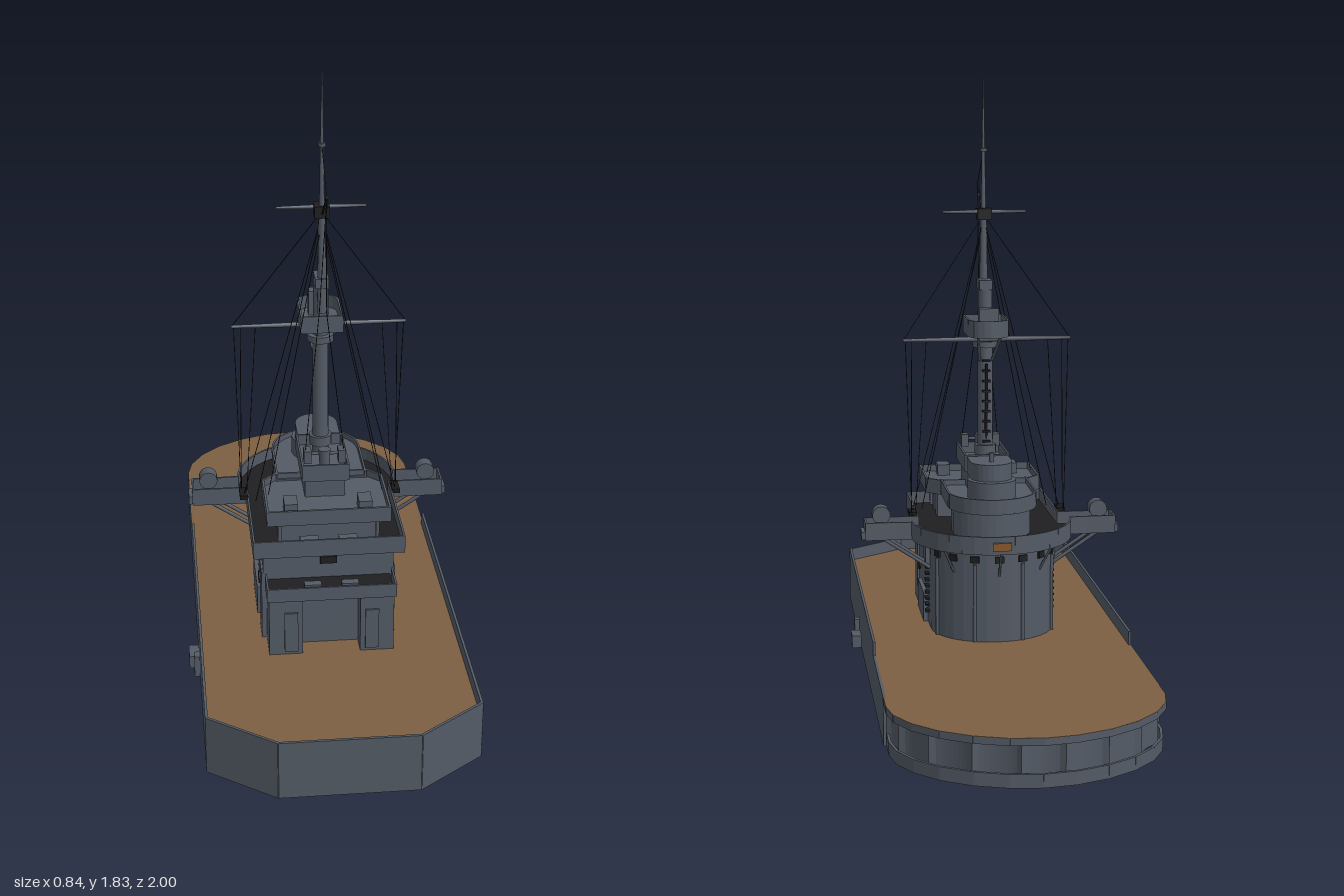
import * as THREE from 'three';

const material = (name, color) => {
  const m = new THREE.MeshStandardMaterial({ color, side: THREE.DoubleSide });
  m.name = name;
  return m;
};

export function createModel() {
  const steel = material('steel grey', 0x545b66);
  const dark = material('dark deck covering', 0x1f1f21);
  const wood = material('wooden deck', 0x7c5f43);
  const line = material('rigging black', 0x1a1a1c);
  const brass = material('brass', 0x87572d);
  const root = new THREE.Group();
  const V = (x, y, z) => new THREE.Vector3(x, y, z);

  const add = (name, geo, mat, x = 0, y = 0, z = 0) => {
    const m = new THREE.Mesh(geo, mat);
    m.name = name;
    m.position.set(x, y, z);
    root.add(m);
    return m;
  };
  // box given by its limits
  const box = (name, x0, x1, y0, y1, z0, z1, mat = steel) =>
    add(name, new THREE.BoxGeometry(x1 - x0, y1 - y0, z1 - z0), mat, (x0 + x1) / 2, (y0 + y1) / 2, (z0 + z1) / 2);
  const both = (fn) => [-1, 1].forEach(fn);
  const sideBox = (name, x0, x1, y0, y1, z0, z1, mat = steel) =>
    both((s) => box(name, Math.min(s * x0, s * x1), Math.max(s * x0, s * x1), y0, y1, z0, z1, mat));
  const cyl = (name, r0, r1, y0, y1, x, z, mat = steel, n = 16) =>
    add(name, new THREE.CylinderGeometry(r1, r0, y1 - y0, n), mat, x, (y0 + y1) / 2, z);
  const rod = (name, a, b, r = 0.0012, mat = line, n = 4, r2 = r) => {
    const d = b.clone().sub(a);
    const m = add(name, new THREE.CylinderGeometry(r2, r, d.length(), n), mat);
    m.position.copy(a).addScaledVector(d, 0.5);
    m.quaternion.setFromUnitVectors(V(0, 1, 0), d.normalize());
    return m;
  };
  // plan outline of [x, z] points raised from y0 to y1
  const prism = (name, pts, y0, y1, mat = steel) => {
    const s = new THREE.Shape(pts.map((p) => new THREE.Vector2(p[0], -p[1])));
    const g = new THREE.ExtrudeGeometry(s, { depth: y1 - y0, bevelEnabled: false });
    g.rotateX(-Math.PI / 2);
    return add(name, g, mat, 0, y0, 0);
  };
  // thin upright plating along a plan path
  const wall = (name, pts, y0, y1, t = 0.008, mat = steel) => {
    for (let i = 0; i < pts.length - 1; i++) {
      const [ax, az] = pts[i], [bx, bz] = pts[i + 1];
      const m = add(name, new THREE.BoxGeometry(Math.hypot(bx - ax, bz - az) + t * 0.6, y1 - y0, t), mat,
        (ax + bx) / 2, (y0 + y1) / 2, (az + bz) / 2);
      m.rotation.y = -Math.atan2(bz - az, bx - ax);
    }
  };
  const arc = (rx, rz, cz, n, a0 = 0, a1 = Math.PI) => Array.from({ length: n + 1 }, (_, i) => {
    const a = a0 + (a1 - a0) * i / n;
    return [rx * Math.cos(a), cz - rz * Math.sin(a)];
  });
  const closed = (pts) => [...pts, pts[0]];

  // hull: raised bulwark forward, lower rounded stern
  const bow = [[-0.386, -0.25], [-0.386, 0.86], [-0.197, 0.996], [0.197, 0.996], [0.386, 0.86], [0.386, -0.25]];
  wall('bulwark', bow, 0, 0.18);
  sideBox('sternSide', 0.382, 0.39, 0, 0.139, -0.63, -0.25);
  // slightly slimmer than an ellipse at the quarters
  const lean = (v) => Math.sign(v) * Math.abs(v) ** 1.07;
  const sternArc = (d) => Array.from({ length: 13 }, (_, i) => {
    const a = Math.PI * i / 12;
    return [(0.39 - d) * lean(Math.cos(a)), -0.7 - (0.3 - d) * lean(Math.sin(a))];
  });
  prism('deck', [[0.383, 0.857], ...sternArc(0.001), [-0.383, 0.857], [-0.195, 0.992], [0.195, 0.992]], 0.126, 0.139, wood);

  // stern wall of shallow scalloped bays between two bands
  const sternPath = (d) => [[0.39 - d, -0.62], ...sternArc(d), [-0.39 + d, -0.62]];
  const scallop = (inset) => Array.from({ length: 91 }, (_, i) => {
    const a = Math.PI * i / 90;
    const d = inset + 0.024 * Math.sqrt(Math.abs(Math.sin(a * 9)));
    return [(0.389 - d) * lean(Math.cos(a)), -0.635 - (0.36 - d) * lean(Math.sin(a))];
  });
  wall('sternLowerBand', sternPath(0.012), 0, 0.038);
  prism('sternBays', [...scallop(0.006), ...scallop(0.014).reverse()], 0.01, 0.126);
  wall('sternUpperBand', sternPath(0.005), 0.118, 0.138);
  prism('sternUnderside', [[0.38, -0.42], ...sternArc(0.02), [-0.38, -0.42]], 0.118, 0.124, dark);
  sideBox('sidePlatform', 0.36, 0.42, 0, 0.04, 0.27, 0.335);
  sideBox('sideFender', 0.388, 0.406, 0, 0.07, 0.355, 0.385);

  // main deckhouse with rounded back
  const house = [[0.195, 0.4], ...arc(0.19, 0.17, 0, 16), [-0.195, 0.4]];
  prism('deckhouse', house, 0.13, 0.43);
  sideBox('houseLocker', 0.19, 0.205, 0.13, 0.23, 0.08, 0.26);
  sideBox('housePanel', 0.19, 0.2, 0.13, 0.36, 0.32, 0.4);
  sideBox('houseBracket', 0.18, 0.204, 0.33, 0.43, 0.02, 0.09);
  both((s) => {
    const p = cyl('portLight', 0.016, 0.016, -0.004, 0.004, s * 0.198, 0.275, brass);
    p.position.y = 0.275;
    p.rotation.z = Math.PI / 2;
    const rim = add('portLightRim', new THREE.TorusGeometry(0.017, 0.003, 6, 20), dark, s * 0.199, 0.275, 0.275);
    rim.rotation.y = Math.PI / 2;
  });
  for (let i = 0; i < 8; i++) sideBox('ladderRung', 0.19, 0.203, 0.18 + i * 0.02, 0.186 + i * 0.02, 0.035, 0.065, dark);
  for (let i = 1; i < 8; i++) {
    const a = Math.PI * i / 8, c = Math.cos(a), s = Math.sin(a);
    if (i % 2 === 0) rod('galleryStrut', V(0.18 * c, 0.34, -0.165 * s), V(0.235 * c, 0.43, 0.02 - 0.235 * s), 0.004, steel, 5);
    else cyl('housePipe', 0.006, 0.006, 0.14, 0.38, 0.192 * c, -0.172 * s, steel, 6);
    const w = box('houseWindow', -0.014, 0.014, 0.385, 0.405, -0.004, 0.004, dark);
    w.position.set(0.191 * c, 0.395, -0.171 * s);
    w.rotation.y = Math.atan2(c, -s);
  }

  // front annex
  sideBox('frontCabin', 0.085, 0.185, 0.13, 0.325, 0.4, 0.5);
  box('frontRecess', -0.085, 0.085, 0.13, 0.325, 0.4, 0.44);
  box('annexRoof', -0.185, 0.185, 0.325, 0.338, 0.4, 0.508, dark);
  wall('annexRail', [[-0.188, 0.42], [-0.188, 0.51], [0.188, 0.51], [0.188, 0.42]], 0.325, 0.368, 0.006);
  sideBox('cabinDoor', 0.1, 0.14, 0.15, 0.28, 0.5, 0.506);
  box('frontWindow', -0.025, 0.025, 0.385, 0.408, 0.4, 0.405, dark);
  sideBox('annexLocker', 0.03, 0.08, 0.338, 0.37, 0.475, 0.5);

  // bridge platform with wings
  const bridge = [[0.222, 0.427], [0.222, 0.077], [0.388, 0.077], [0.388, 0.003], [0.3, 0.003],
    ...arc(0.247, 0.245, 0.02, 18, 0.08, Math.PI - 0.08), [-0.3, 0.003], [-0.388, 0.003], [-0.388, 0.077], [-0.222, 0.077], [-0.222, 0.427]];
  prism('bridgeFloor', bridge, 0.425, 0.441, dark);
  wall('bridgeRail', closed(bridge), 0.425, 0.48, 0.006);
  sideBox('wingEnd', 0.385, 0.402, 0.425, 0.45, 0.01, 0.07);
  sideBox('bridgeLocker', 0.03, 0.085, 0.441, 0.475, 0.392, 0.422);
  box('sternPlate', -0.028, 0.028, 0.438, 0.462, -0.234, -0.226, brass);
  both((s) => {
    for (const z of [0.015, 0.065]) rod('wingStrut', V(s * 0.19, 0.33, z), V(s * 0.34, 0.43, z), 0.006, steel, 6);
    cyl('lampStand', 0.012, 0.012, 0.44, 0.49, s * 0.34, 0.04);
    const l = cyl('searchlight', 0.028, 0.028, -0.02, 0.02, s * 0.34, 0.04);
    l.position.y = 0.498;
    l.rotation.x = Math.PI / 2;
  });

  // upper bridge, carried on separate supports
  for (const [w, z0, z1] of [[0.145, 0.32, 0.36], [0.145, 0.22, 0.28], [0.1, 0.09, 0.18]])
    box('bridgeSupport', -w, w, 0.44, 0.53, z0, z1);
  sideBox('bridgePost', 0.14, 0.15, 0.44, 0.53, 0.395, 0.405);
  const upper = [[0.18, 0.415], [0.18, 0.21], [0.14, 0.17], [-0.14, 0.17], [-0.18, 0.21], [-0.18, 0.415]];
  prism('upperBridgeFloor', upper, 0.525, 0.55);
  wall('upperBridgeRail', closed(upper), 0.525, 0.572, 0.007);
  prism('conningTower', [[0.12, 0.05], ...arc(0.12, 0.1, 0.0, 16), [-0.12, 0.05]], 0.44, 0.53);
  const aftTop = [[0.135, 0.18], ...arc(0.135, 0.135, 0.0, 16), [-0.135, 0.18]];
  prism('aftBridgeFloor', aftTop, 0.525, 0.555);
  wall('aftBridgeRail', aftTop, 0.525, 0.572, 0.006);

  // compass platform and range finder hood
  box('compassHouse', -0.06, 0.06, 0.55, 0.615, 0.11, 0.29);
  const compass = [[0.068, 0.31], [0.068, 0.1], [-0.068, 0.1], [-0.068, 0.31]];
  prism('compassFloor', compass, 0.612, 0.63);
  wall('compassRail', closed(compass), 0.612, 0.665, 0.006);
  cyl('compass', 0.014, 0.018, 0.63, 0.7, 0, 0.275);
  sideBox('compassLamp', 0.04, 0.062, 0.66, 0.7, 0.255, 0.29);
  rod('compassBar', V(-0.06, 0.685, 0.272), V(0.06, 0.685, 0.272), 0.005, steel, 6);
  cyl('hoodBase', 0.075, 0.075, 0.55, 0.61, 0, -0.005, steel, 20);
  prism('hood', [[0.065, 0.09], ...arc(0.065, 0.065, 0.01, 12), [-0.065, 0.09]], 0.61, 0.662);
  cyl('hoodPeriscope', 0.008, 0.008, 0.66, 0.69, 0, 0.005, steel, 8);
  sideBox('upperLocker', 0.09, 0.13, 0.55, 0.585, 0.34, 0.4);

  // mast: lower mast, fighting top and topmast
  cyl('lowerMast', 0.026, 0.022, 0.44, 1.2, 0, 0.148);
  cyl('mastBand', 0.04, 0.04, 1.0, 1.02, 0, 0.148);
  cyl('mastFoot', 0.034, 0.034, 0.66, 0.69, 0, 0.148);
  const top = [[0.06, 0.2], ...arc(0.06, 0.05, 0.07, 10), [-0.06, 0.2]];
  prism('fightingTopFloor', top, 1.042, 1.055);
  wall('fightingTopRail', closed(top), 1.042, 1.095, 0.006);
  box('topInstrument', -0.03, 0.03, 1.05, 1.13, 0.055, 0.09);
  both((s) => rod('topStrut', V(s * 0.02, 0.96, 0.13), V(s * 0.035, 1.045, 0.045), 0.005, steel, 6));
  for (let i = 0; i < 9; i++) box('mastStep', -0.012, 0.012, 0.7 + i * 0.032, 0.706 + i * 0.032, 0.112, 0.126, dark);
  rod('mastLeg', V(0, 0.48, 0.145), V(0, 0.95, 0.11), 0.005, line, 6);
  box('mastCap', -0.02, 0.02, 1.18, 1.21, 0.125, 0.2);
  cyl('topmast', 0.014, 0.01, 1.1, 1.42, 0, 0.184, steel, 10);
  cyl('upperPole', 0.008, 0.002, 1.42, 1.825, 0, 0.184, steel, 8);
  cyl('poleRing', 0.011, 0.011, 1.605, 1.615, 0, 0.184, steel, 8);
  box('crossTree', -0.022, 0.022, 1.395, 1.43, 0.15, 0.2, dark);

  // yards and gaff
  both((s) => {
    rod('lowerYard', V(0, 1.03, 0.1), V(s * 0.262, 1.03, 0.1), 0.009, steel, 8, 0.005);
    rod('upperYard', V(0, 1.42, 0.165), V(s * 0.13, 1.42, 0.165), 0.007, steel, 8, 0.004);
  });
  const gaff = V(0, 1.5, 0.325);
  rod('gaff', V(0, 1.4, 0.185), gaff, 0.003, line, 6);
  rod('gaffStay', gaff, V(0, 1.61, 0.184));

  // rigging
  both((s) => {
    rod('yardLift', V(0, 1.41, 0.18), V(s * 0.258, 1.035, 0.1));
    for (const [x0, x1, z] of [[0.255, 0.24, 0.08], [0.235, 0.24, 0.1], [0.19, 0.225, 0.12]])
      rod('halyard', V(s * x0, 1.03, 0.1), V(s * x1, 0.48, z));
    for (const [x, z] of [[0.235, 0.13], [0.2, 0.17]]) rod('shroud', V(0, 1.4, 0.18), V(s * x, 0.48, z));
    rod('forestay', V(0, 1.38, 0.185), V(s * 0.17, 0.57, 0.3));
    rod('gaffHalyard', gaff, V(s * 0.01, 1.12, 0.22));
    rod('signalLine', V(s * 0.01, 1.12, 0.22), V(s * 0.06, 0.67, 0.28));
    box('shroudBlock', s * 0.235 - 0.012, s * 0.235 + 0.012, 0.475, 0.488, 0.09, 0.15, line);
  });

  return root;
}
